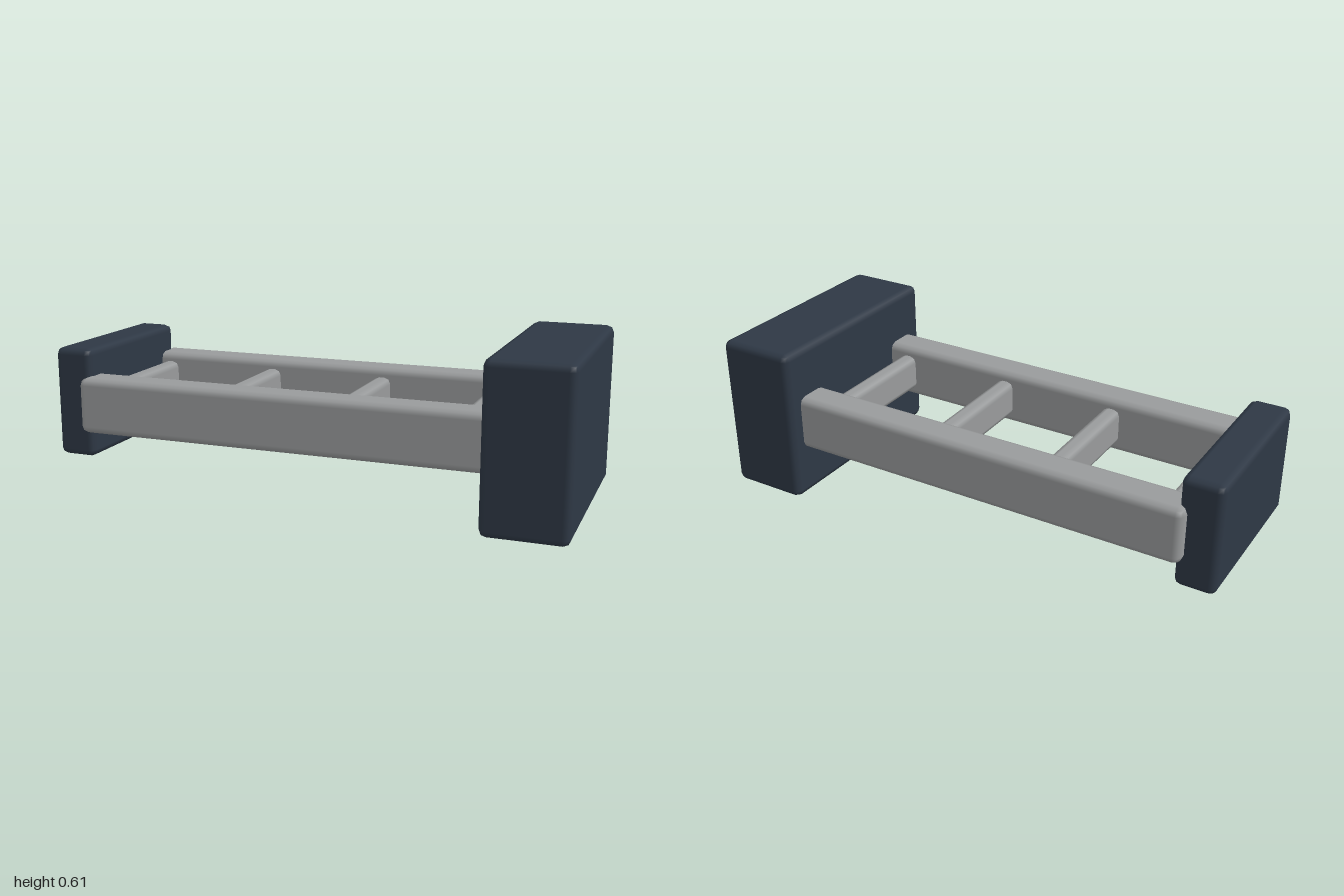
import * as THREE from 'three';
import { RoundedBoxGeometry } from 'three/addons/geometries/RoundedBoxGeometry.js';

export function createModel() {
  const model = new THREE.Group();
  model.name = 'bedFrame';

  const navy = new THREE.MeshStandardMaterial({ color: 0x2e3845 });
  navy.name = 'dark slate';
  const metal = new THREE.MeshStandardMaterial({ color: 0x999b9c });
  metal.name = 'grey metal';

  // Box with a two-step bevel, given by its size and centre
  function block(name, material, size, centre, bevel) {
    const mesh = new THREE.Mesh(new RoundedBoxGeometry(...size, 1, bevel), material);
    mesh.name = name;
    mesh.position.set(...centre);
    model.add(mesh);
  }

  // End blocks
  block('largeEndBlock', navy, [0.31, 0.612, 0.856], [0.845, 0.306, 0], 0.027);
  block('smallEndBlock', navy, [0.154, 0.424, 0.656], [-0.923, 0.31, 0], 0.027);

  // Side rails, set into the large block
  for (const side of [-1, 1]) {
    block(side > 0 ? 'frontRail' : 'backRail', metal,
      [1.66, 0.215, 0.14], [-0.05, 0.309, side * 0.297], 0.028);
  }

  // Evenly spaced cross bars between the rails
  for (let i = 0; i < 4; i++) {
    block('crossBar' + (i + 1), metal,
      [0.07, 0.143, 0.54], [-0.805 + i * 0.47, 0.309, 0], 0.025);
  }

  return model;
}
